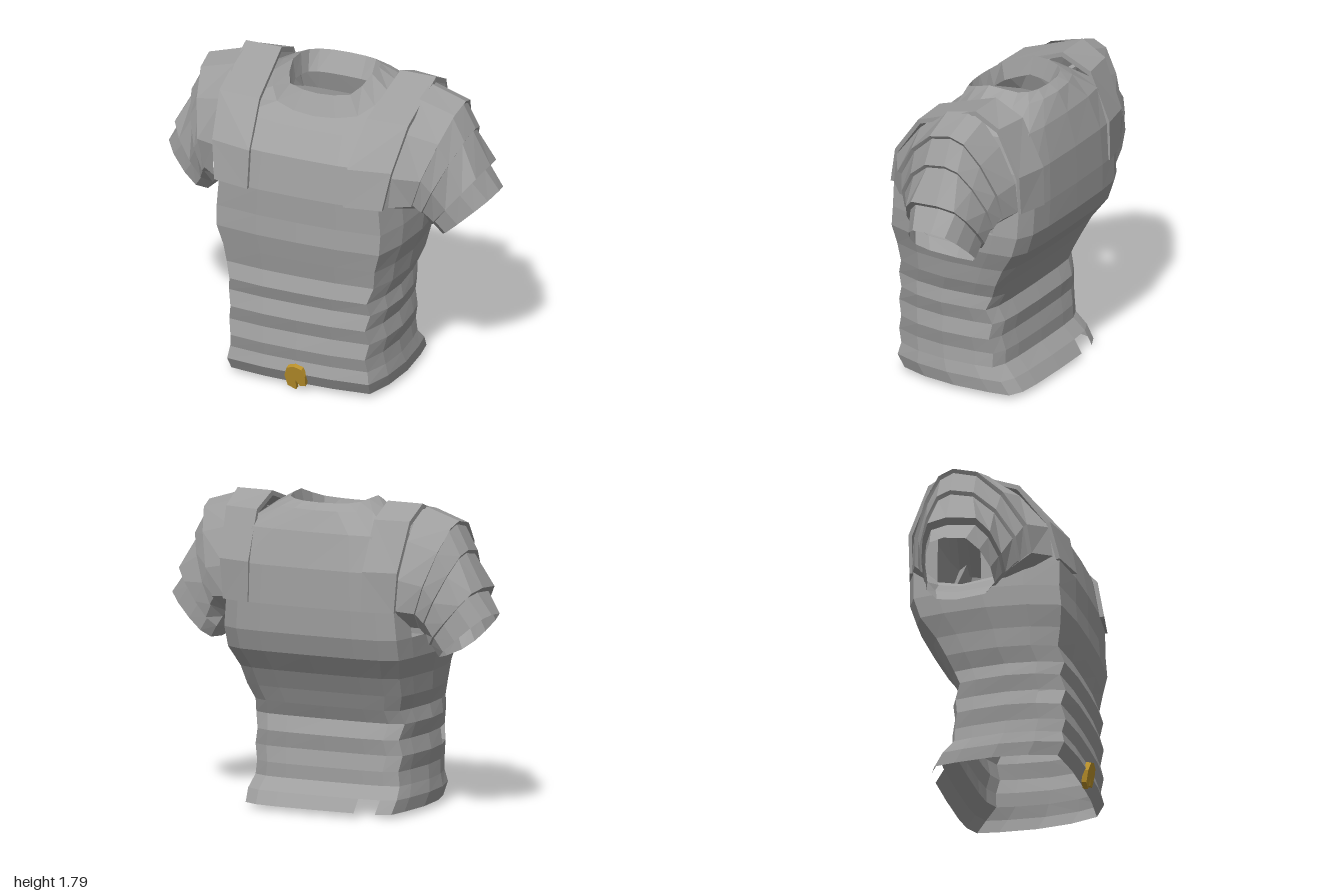
import * as THREE from 'three';

const steel = new THREE.MeshStandardMaterial({ color: 0x9f9f9f, side: THREE.DoubleSide });
steel.name = 'steel grey';
const gold = new THREE.MeshStandardMaterial({ color: 0xbd932b });
gold.name = 'gold';
const mix = THREE.MathUtils.lerp;

// Faceted skin over closed rings of [x, y, z]; skip(j, i) leaves a quad open
function loft(name, rings, skip = () => false) {
  const pos = [];
  for (let j = 0; j < rings.length - 1; j++) {
    const lo = rings[j], hi = rings[j + 1], n = lo.length;
    for (let i = 0; i < n; i++) {
      if (skip(j, i)) continue;
      const k = (i + 1) % n;
      pos.push(...lo[i], ...lo[k], ...hi[k], ...lo[i], ...hi[k], ...hi[i]);
    }
  }
  const g = new THREE.BufferGeometry();
  g.setAttribute('position', new THREE.Float32BufferAttribute(pos, 3));
  g.computeVertexNormals();
  const mesh = new THREE.Mesh(g, steel);
  mesh.name = name;
  return mesh;
}

// Half outline of the body from front centre to back centre: [x, z] in -1..1
const half = [[0, 1], [0.42, 0.99], [0.86, 0.93], [0.96, 0.52], [1, 0],
  [0.97, -0.55], [0.93, -0.86], [0.76, -0.96], [0.5, -0.99], [0, -1]];
const M = half.length - 1;

// Body ring; round = 0 gives the boxy outline, 1 an ellipse
function bodyRing([yf, ys, yb, w, f, b, round = 0]) {
  const pts = [];
  for (let i = 0; i < 2 * M; i++) {
    const h = i <= M ? i : 2 * M - i, side = i <= M ? 1 : -1;
    const a = (h / M) * Math.PI;
    const x = mix(half[h][0], Math.sin(a), round);
    const t = mix(half[h][1], Math.cos(a), round);
    const y = t > 0 ? mix(ys, yf, t) : mix(ys, yb, -t);
    pts.push([side * x * w, y, mix(b, f, (t + 1) / 2)]);
  }
  return pts;
}

// Seam shared by the torso and the collar
const neckline = [1.60, 1.73, 1.735, 0.35, 0.215, -0.36, 0.7];

function torso() {
  // Ribbed waist and chest: y, half width, front z, back z
  const rows = [
    [0.025, 0.495, 0.42, -0.37], [0.10, 0.505, 0.46, -0.32], [0.17, 0.49, 0.44, -0.25],
    [0.25, 0.48, 0.46, -0.25], [0.34, 0.50, 0.435, -0.23], [0.43, 0.48, 0.46, -0.245],
    [0.52, 0.505, 0.43, -0.21], [0.60, 0.49, 0.455, -0.25], [0.69, 0.525, 0.425, -0.29],
    [0.80, 0.54, 0.445, -0.35], [0.92, 0.58, 0.465, -0.44], [1.04, 0.585, 0.455, -0.48],
    [1.20, 0.57, 0.455, -0.485], [1.42, 0.55, 0.415, -0.475],
  ].map(([y, w, f, b]) => [y, y, y, w, f, b]);
  // Shoulders closing to the neck
  rows.push([1.55, 1.61, 1.62, 0.51, 0.29, -0.42, 0.2], neckline);
  const hem = 2 * M - 8;
  return loft('torso', rows.map(bodyRing), (j, i) => {
    const side = i < M ? i : 2 * M - 1 - i;
    const armhole = j >= 11 && j <= 12 && side === 4;
    const waistGap = j === 4 && i >= M && side === 2;
    return armhole || waistGap || (j === 0 && i === hem);   // openings and hem notch
  });
}

function collar() {
  return loft('collar', [
    neckline,
    [1.715, 1.80, 1.77, 0.245, 0.155, -0.30, 0.5],
    [1.62, 1.68, 1.66, 0.225, 0.12, -0.22, 0.3],
  ].map(bodyRing));
}

// Broad strap arching from the chest over the shoulder to the back
function shoulderStrap() {
  // y, inner x, outer x, inner z, outer z
  const path = [
    [1.20, 0.295, 0.515, 0.47, 0.43], [1.42, 0.30, 0.55, 0.43, 0.38],
    [1.65, 0.33, 0.58, 0.22, 0.21], [1.79, 0.365, 0.585, -0.17, -0.17],
    [1.71, 0.37, 0.58, -0.35, -0.32], [1.43, 0.36, 0.56, -0.48, -0.44],
    [1.20, 0.36, 0.54, -0.485, -0.44],
  ];
  const inset = (y, z) => [1.2 + (y - 1.2) * 0.95, -0.05 + (z + 0.05) * 0.95];
  const rings = path.map(([y, xi, xo, zi, zo]) => [
    [xi, y, zi], [xo, y, zo], [xo, ...inset(y, zo)], [xi, ...inset(y, zi)],
  ]);
  // Closed ends
  const cap = (r) => [r[3], r[2], r[2], r[3]];
  return loft('shoulderStrap', [cap(rings[0]), ...rings, cap(rings[rings.length - 1])]);
}

// Overlapping sleeve plates, open at the cuff
function sleeve() {
  const arch = [[0, 0], [0.04, 0.5], [0.2, 0.97], [0.45, 0.93], [0.75, 0.62], [0.95, 0.28], [1, 0]];
  const n = arch.length - 1;
  // top x, top y, bottom x, bottom y, front z, back z, squareness
  const rows = [
    [0.57, 1.77, 0.53, 1.07, 0.41, -0.43, 1],
    [0.79, 1.70, 0.60, 1.07, 0.31, -0.39, 0.9],
    [0.775, 1.68, 0.60, 1.07, 0.285, -0.37, 0.9],
    [0.85, 1.54, 0.63, 1.04, 0.25, -0.345, 0.8],
    [0.835, 1.52, 0.635, 1.04, 0.23, -0.33, 0.8],
    [0.94, 1.33, 0.66, 0.99, 0.17, -0.31, 0.42],
    [0.905, 1.30, 0.67, 0.99, 0.15, -0.29, 0.42],
    [0.995, 1.18, 0.71, 0.925, 0.12, -0.28, 0.5],
  ];
  return loft('sleeve', rows.map(([tx, ty, bx, by, f, b, p]) => {
    const pts = [];
    for (let i = 0; i < 2 * n; i++) {
      const [u, v] = arch[i <= n ? i : 2 * n - i];
      pts.push([mix(bx, tx, u), mix(by, ty, u), mix(-0.12, i <= n ? b : f, v ** p)]);
    }
    return pts;
  }));
}

function buckle() {
  const s = new THREE.Shape([
    [-0.05, 0.02], [0, 0], [0.002, 0.065], [0.025, 0.03], [0.06, 0.035],
    [0.062, 0.10], [0.045, 0.145], [0, 0.16], [-0.045, 0.145], [-0.064, 0.09],
  ].map(([x, y]) => new THREE.Vector2(x, y)));
  const g = new THREE.ExtrudeGeometry(s, { depth: 0.03, bevelEnabled: false });
  const mesh = new THREE.Mesh(g, gold);
  mesh.name = 'buckle';
  mesh.position.set(0, 0.005, 0.425);
  mesh.rotation.x = 0.22;
  return mesh;
}

export function createModel() {
  const model = new THREE.Group();
  model.name = 'bodyArmour';
  model.add(torso(), collar(), buckle());
  for (const [name, s] of [['left', 1], ['right', -1]]) {
    const arm = new THREE.Group();
    arm.name = name + 'Shoulder';
    arm.add(shoulderStrap(), sleeve());
    arm.scale.x = s;
    model.add(arm);
  }
  return model;
}
